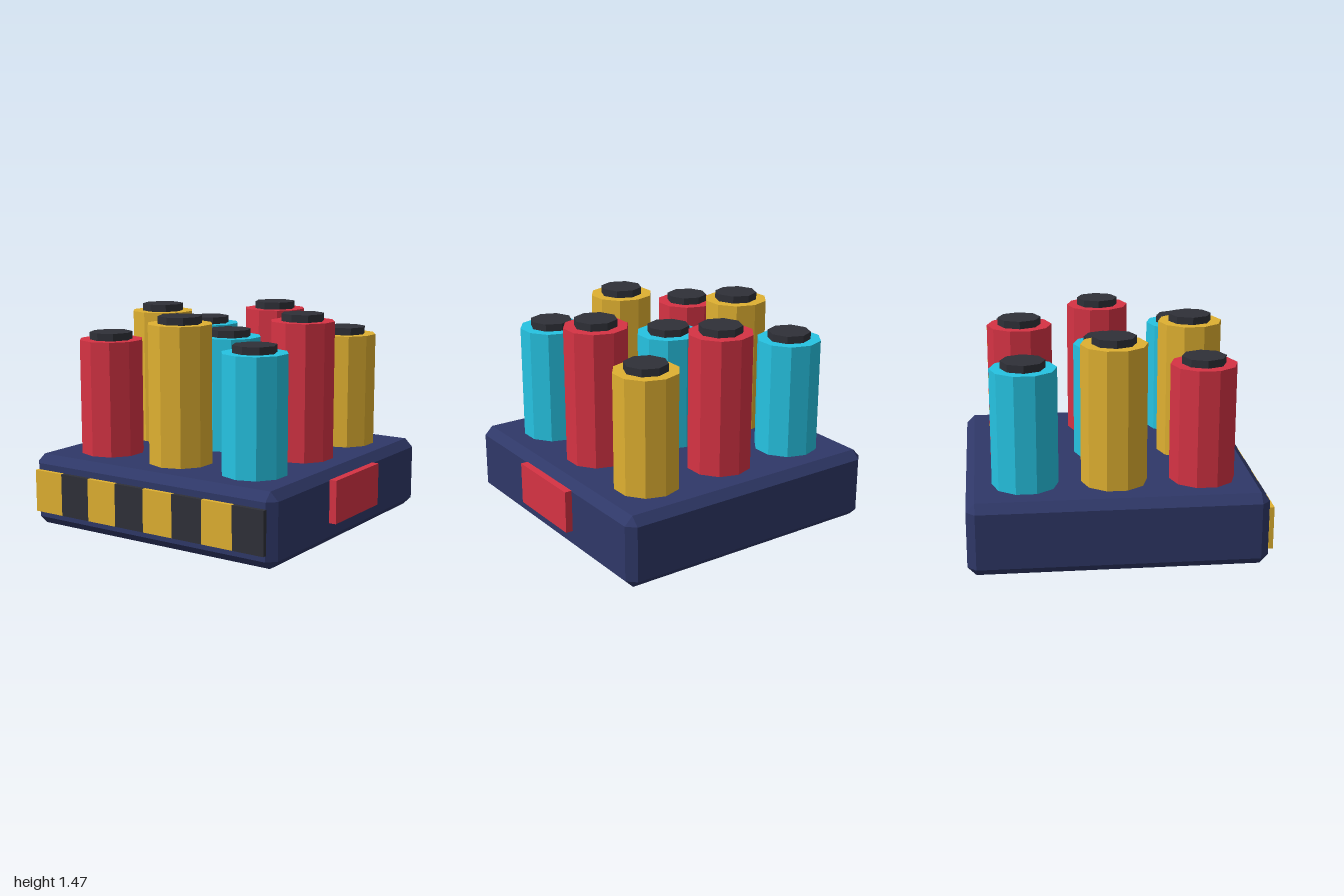
import * as THREE from 'three';
import { ConvexGeometry } from 'three/addons/geometries/ConvexGeometry.js';

const CX = -0.025, CZ = -0.015; // centre of the base block

function material(name, color) {
  const m = new THREE.MeshStandardMaterial({ color });
  m.name = name;
  return m;
}

// Box with every edge cut by a flat chamfer
function chamferedBox(w, h, d, c) {
  const points = [];
  for (const x of [-1, 1]) for (const y of [-1, 1]) for (const z of [-1, 1]) {
    const X = w / 2, Y = h / 2, Z = d / 2;
    points.push(
      new THREE.Vector3(x * X, y * (Y - c), z * (Z - c)),
      new THREE.Vector3(x * (X - c), y * Y, z * (Z - c)),
      new THREE.Vector3(x * (X - c), y * (Y - c), z * Z)
    );
  }
  return new ConvexGeometry(points);
}

// Faceted cylinder with flat normals, standing on its own y = 0
function prism(radius, height, sides) {
  const g = new THREE.CylinderGeometry(radius, radius, height, sides).toNonIndexed();
  g.translate(0, height / 2, 0);
  g.computeVertexNormals();
  return g;
}

export function createModel() {
  const group = new THREE.Group();
  const navy = material('navy', 0x2f3868);
  const red = material('red', 0xd63344);
  const yellow = material('yellow', 0xdfb031);
  const cyan = material('cyan', 0x26c3e2);
  const dark = material('charcoal', 0x2f3038);

  const add = (parent, name, geometry, mat, x, y, z) => {
    const mesh = new THREE.Mesh(geometry, mat);
    mesh.name = name;
    mesh.position.set(x, y, z);
    parent.add(mesh);
  };

  // Base block
  add(group, 'base', chamferedBox(1.95, 0.49, 1.95, 0.057), navy, CX, 0.245, CZ);

  // Three by three tubes, corners and centre shorter than the rest
  const colours = [[cyan, red, yellow], [yellow, cyan, red], [red, yellow, cyan]];
  for (let row = 0; row < 3; row++) {
    for (let col = 0; col < 3; col++) {
      const tube = new THREE.Group();
      tube.name = `tube${row * 3 + col + 1}`;
      tube.position.set(CX + (col - 1) * 0.585, 0.488, CZ + (row - 1) * 0.585);
      const height = (row + col) % 2 ? 0.93 : 0.785;
      add(tube, 'tubeBody', prism(0.219, height, 10), colours[row][col], 0, 0, 0);
      add(tube, 'tubeCap', prism(0.146, 0.05, 8), dark, 0, height, 0);
      group.add(tube);
    }
  }

  // Warning stripes along the front
  const stripeWidth = 0.2315;
  for (let i = 0; i < 8; i++) {
    add(group, `stripe${i + 1}`, new THREE.BoxGeometry(stripeWidth, 0.29, 0.03),
      i % 2 ? dark : yellow, CX + (i - 3.5) * stripeWidth, 0.245, 0.975);
  }

  // Side panel on the model's left
  add(group, 'sidePanel', new THREE.BoxGeometry(0.05, 0.29, 0.585), red, 0.975, 0.295, CZ);

  return group;
}
